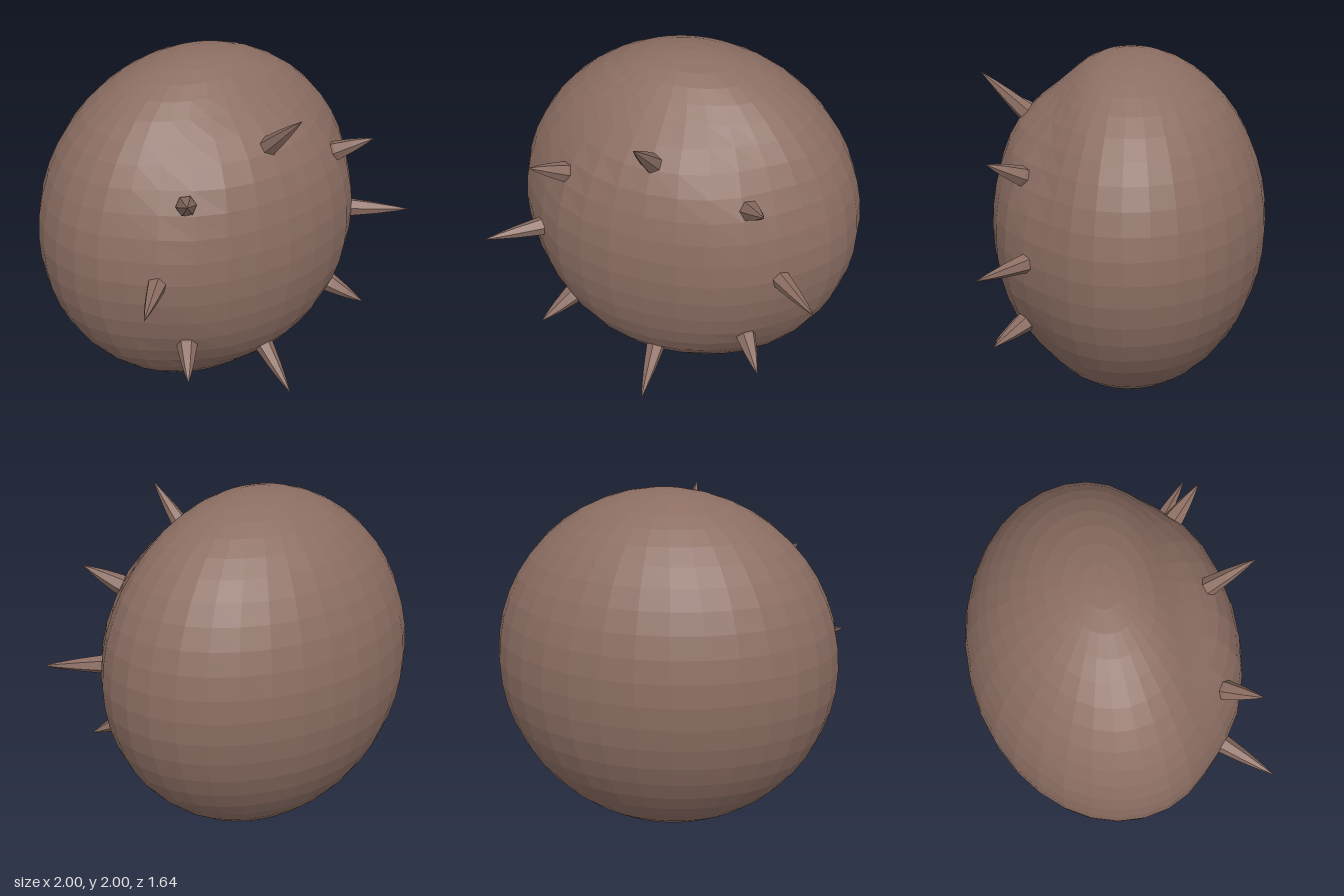
import * as THREE from 'three';

export function createModel() {
  const group = new THREE.Group();
  const brown = new THREE.MeshStandardMaterial({ color: 0x8c6e63, flatShading: true });
  brown.name = 'dusty brown';

  // Body: faceted sphere, flattened front to back, with a shallow dent around the spike ring
  const bodyGeo = new THREE.SphereGeometry(1, 32, 24);
  const pos = bodyGeo.attributes.position;
  for (let i = 0; i < pos.count; i++) {
    const x = pos.getX(i), y = pos.getY(i);
    let z = pos.getZ(i);
    if (z > 0) {
      const r = Math.hypot(x, y);
      const depth = 0.09 + 0.1 * Math.max(0, y);
      z *= 0.765 * (1 - depth * Math.exp(-(((r - 0.85) / 0.15) ** 2)));
    } else {
      z *= 0.82;
    }
    pos.setZ(i, z - 0.03 * (1 - Math.abs(z)) * Math.hypot(x, y) ** 4);
  }
  const body = new THREE.Mesh(bodyGeo, brown);
  body.name = 'body';
  body.position.y = 1;
  group.add(body);

  // Spikes: slightly bulging six-sided cones from base to tip
  const up = new THREE.Vector3(0, 1, 0);
  function addSpike(base, tip) {
    const dir = tip.clone().sub(base);
    const length = dir.length();
    dir.normalize();
    const sunk = 0.06;
    const profile = [[0.058, -sunk], [0.056, 0], [0.036, length * 0.45], [0.017, length * 0.77], [0, length]]
      .map(([r, h]) => new THREE.Vector2(r, h));
    const spike = new THREE.Mesh(new THREE.LatheGeometry(profile, 6), brown);
    spike.name = 'spike';
    spike.position.copy(base);
    spike.quaternion.setFromUnitVectors(up, dir);
    group.add(spike);
  }
  const V = (x, y, z) => new THREE.Vector3(x, y, z);

  // Top and bottom pair, then side and diagonal spikes mirrored
  addSpike(V(0, 1.63, 0.56), V(0, 1.87, 0.82));
  addSpike(V(0, 0.37, 0.56), V(0, 0.15, 0.81));
  for (const s of [-1, 1]) {
    addSpike(V(s * 0.7, 1, 0.49), V(s * 0.965, 1, 0.735));
    for (const t of [-1, 1]) {
      addSpike(V(s * 0.54, 1 + t * 0.44, 0.54), V(s * 0.66, 1 + t * 0.54, 0.705));
    }
  }
  return group;
}
